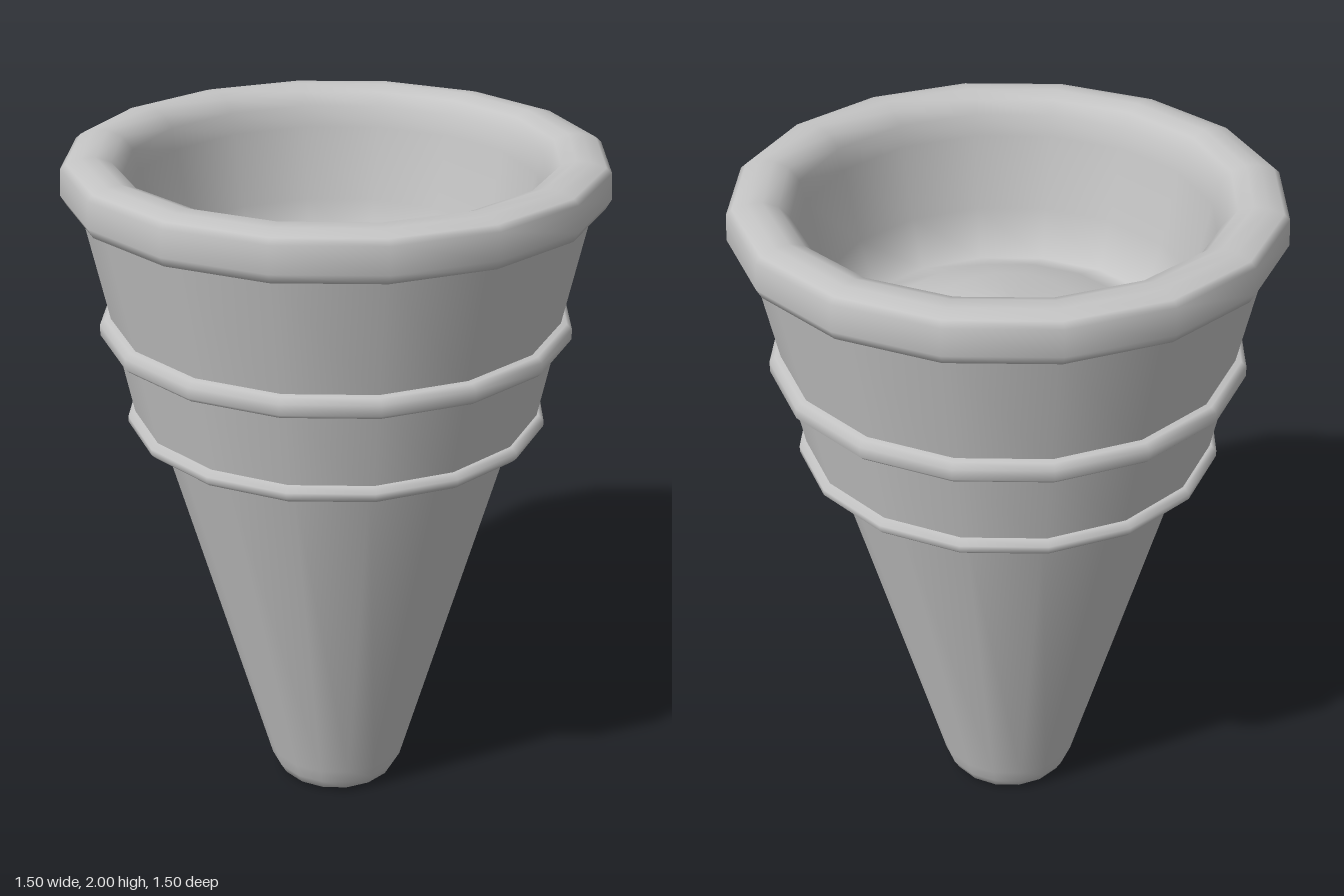
import * as THREE from 'three';

const SIDES = 16;

export function createModel() {
  const group = new THREE.Group();
  const grey = new THREE.MeshStandardMaterial({ color: 0xc4c4c4 });
  grey.name = 'plain grey';

  // Profiles run up the outside, over the top and down the inside
  const turn = (name, profile) => {
    const points = profile.map(([r, y]) => new THREE.Vector2(r, y));
    const mesh = new THREE.Mesh(new THREE.LatheGeometry(points, SIDES), grey);
    mesh.name = name;
    group.add(mesh);
  };

  // Tapered stem with a softly rounded foot
  turn('taperedStem', [
    [0, 0], [0.155, 0], [0.185, 0.012], [0.203, 0.045], [0.215, 0.09], [0.52, 1.215],
  ]);

  // Cup walls stepping outward above each band
  turn('lowerCupWall', [[0.575, 1.23], [0.628, 1.5]]);
  turn('upperCupWall', [[0.63, 1.52], [0.704, 1.88]]);

  // Two raised bands with softened edges
  const band = (name, inner, outer, bottom, top) => turn(name, [
    [inner, bottom], [outer - 0.012, bottom], [outer, bottom + 0.012],
    [outer, top - 0.018], [outer - 0.015, top - 0.004], [inner, top],
  ]);
  band('lowerBand', 0.515, 0.6, 1.21, 1.257);
  band('upperBand', 0.61, 0.665, 1.48, 1.54);

  // Thick rolled rim flowing into a hollow with a domed floor
  turn('rimAndHollow', [
    [0.69, 1.873], [0.735, 1.873], [0.75, 1.9], [0.746, 1.972], [0.73, 1.986],
    [0.69, 1.998], [0.65, 2], [0.61, 1.985], [0.58, 1.95], [0.565, 1.89],
    [0.52, 1.68], [0.47, 1.54], [0.36, 1.575], [0.2, 1.63], [0, 1.65],
  ]);

  return group;
}
